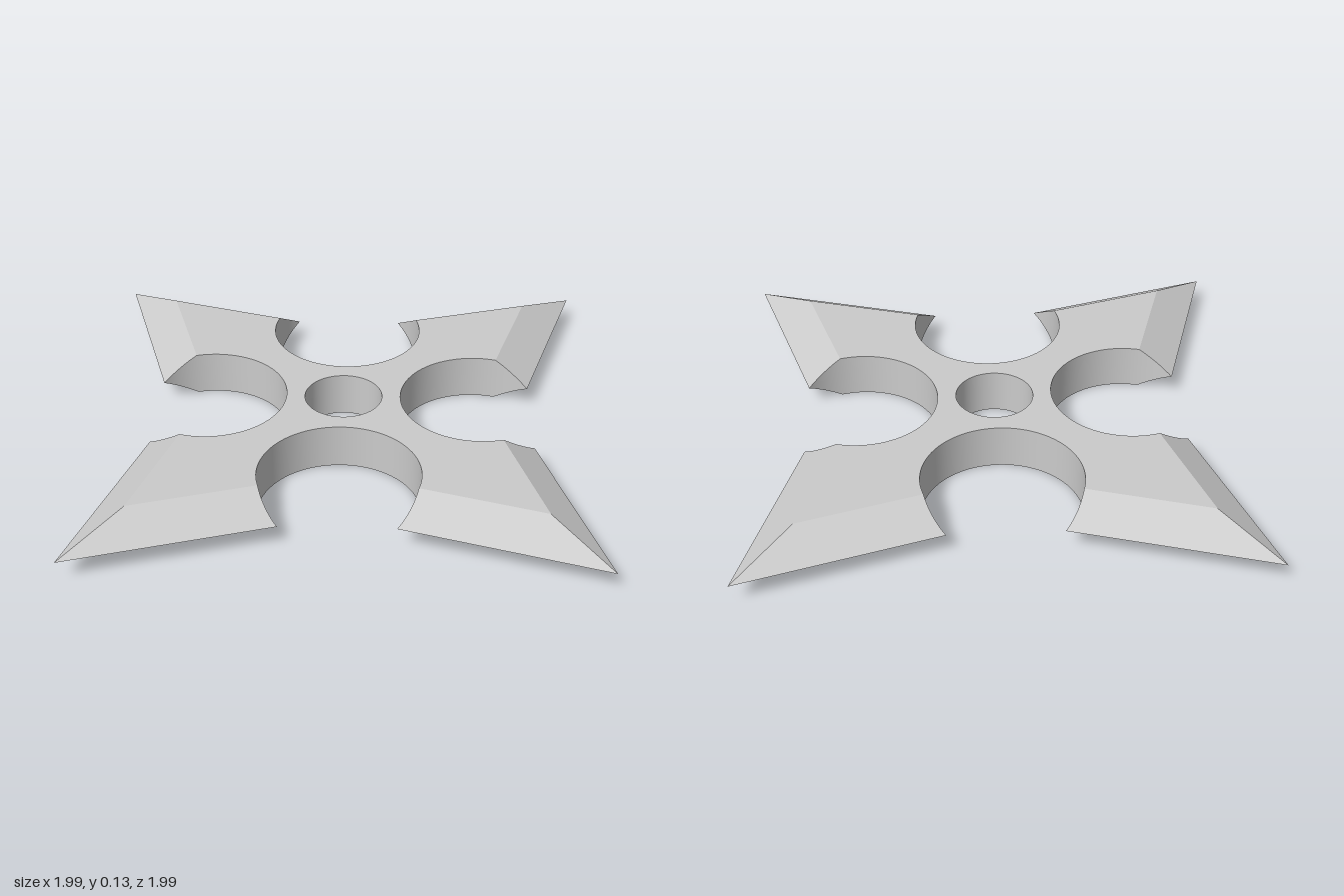
import * as THREE from 'three';

const TIP = 0.995, RIDGE = 0.772;      // blade tip, and end of the flat top
const MID = 0.08, HALF = 0.064;        // mid height and half thickness
const NOTCH = 0.27, NOTCH_R = 0.22;    // round notch between two blades
const HOLE_R = 0.11;
const SLOPE = NOTCH / (TIP - NOTCH - NOTCH_R);
const DEG = Math.PI / 180;
const A0 = 90 * DEG, A1 = 118.5 * DEG, A2 = 331.5 * DEG, A3 = 360 * DEG;

const steps = (a, b, n) => Array.from({ length: n + 1 }, (_, i) => a + (b - a) * i / n);
const onNotch = (a) => [NOTCH + NOTCH_R * Math.cos(a), NOTCH + NOTCH_R * Math.sin(a)];

// half thickness at a point: full on the flat, falling to zero at the cutting edge
function halfHeight(x, z) {
  const along = Math.max(Math.abs(x), Math.abs(z)), across = Math.min(Math.abs(x), Math.abs(z));
  return HALF * THREE.MathUtils.clamp((TIP - along - across / SLOPE) / (TIP - RIDGE), 0, 1);
}

function geometry(positions, normals) {
  const g = new THREE.BufferGeometry();
  g.setAttribute('position', new THREE.Float32BufferAttribute(positions, 3));
  if (normals) g.setAttribute('normal', new THREE.Float32BufferAttribute(normals, 3));
  else g.computeVertexNormals();
  return g;
}

// upright concave wall facing the axis of a round cut
function concaveWall(c, r, angles) {
  const pos = [], nor = [], index = [];
  angles.forEach((a, i) => {
    const x = c + r * Math.cos(a), z = c + r * Math.sin(a), h = halfHeight(x, z);
    pos.push(x, MID - h, z, x, MID + h, z);
    for (let k = 0; k < 2; k++) nor.push(-Math.cos(a), 0, -Math.sin(a));
    if (i) {
      const b = 2 * i;
      index.push(b - 2, b, b + 1, b - 2, b + 1, b - 1);
    }
  });
  const g = geometry(pos, nor);
  g.setIndex(index);
  return g;
}

// four ground facets of one blade pointing to +z
function bevels() {
  const rim = [[0, TIP], ...steps(A0, A1, 10).map(onNotch)];
  const pos = [];
  for (const sx of [1, -1]) for (const sy of [1, -1]) {
    const at = ([x, z]) => [sx * x, MID + sy * halfHeight(x, z), z];
    for (let i = 1; i < rim.length; i++) {
      const pair = sx * sy > 0 ? [rim[i - 1], rim[i]] : [rim[i], rim[i - 1]];
      pos.push(...at([0, RIDGE]), ...at(pair[0]), ...at(pair[1]));
    }
  }
  return geometry(pos);
}

// flat cross-shaped face with the centre hole
function faceShape() {
  const pts = [];
  const quarter = [[0, RIDGE], ...steps(A1, A2, 48).map(onNotch)];
  for (let q = 0; q < 4; q++) {
    const c = Math.round(Math.cos(q * Math.PI / 2)), s = Math.round(Math.sin(q * Math.PI / 2));
    for (const [x, y] of quarter) pts.push(new THREE.Vector2(c * x + s * y, -s * x + c * y));
  }
  const shape = new THREE.Shape(pts);
  shape.holes.push(new THREE.Path(steps(0, 2 * Math.PI, 64).slice(0, -1)
    .map((a) => new THREE.Vector2(HOLE_R * Math.cos(a), HOLE_R * Math.sin(a)))));
  return shape;
}

export function createModel() {
  const group = new THREE.Group();
  group.name = 'throwingStar';
  const mat = new THREE.MeshStandardMaterial({ color: 0xcccccc });
  const add = (name, geo) => {
    const mesh = new THREE.Mesh(geo, mat);
    mesh.name = name;
    group.add(mesh);
    return mesh;
  };

  // flat faces
  const shape = faceShape();
  add('topFace', new THREE.ShapeGeometry(shape).rotateX(-Math.PI / 2)).position.y = MID + HALF;
  add('bottomFace', new THREE.ShapeGeometry(shape).rotateX(Math.PI / 2)).position.y = MID - HALF;

  // centre hole
  add('centreHoleWall', concaveWall(0, HOLE_R, steps(0, 2 * Math.PI, 64)));

  // blades and the notches between them
  const blade = bevels();
  const notch = concaveWall(NOTCH, NOTCH_R,
    [...steps(A0, A1, 10), ...steps(A1, A2, 48).slice(1), ...steps(A2, A3, 10).slice(1)]);
  for (let i = 0; i < 4; i++) {
    add('bladeBevels' + (i + 1), blade).rotation.y = i * Math.PI / 2;
    add('notchWall' + (i + 1), notch).rotation.y = i * Math.PI / 2;
  }
  return group;
}
